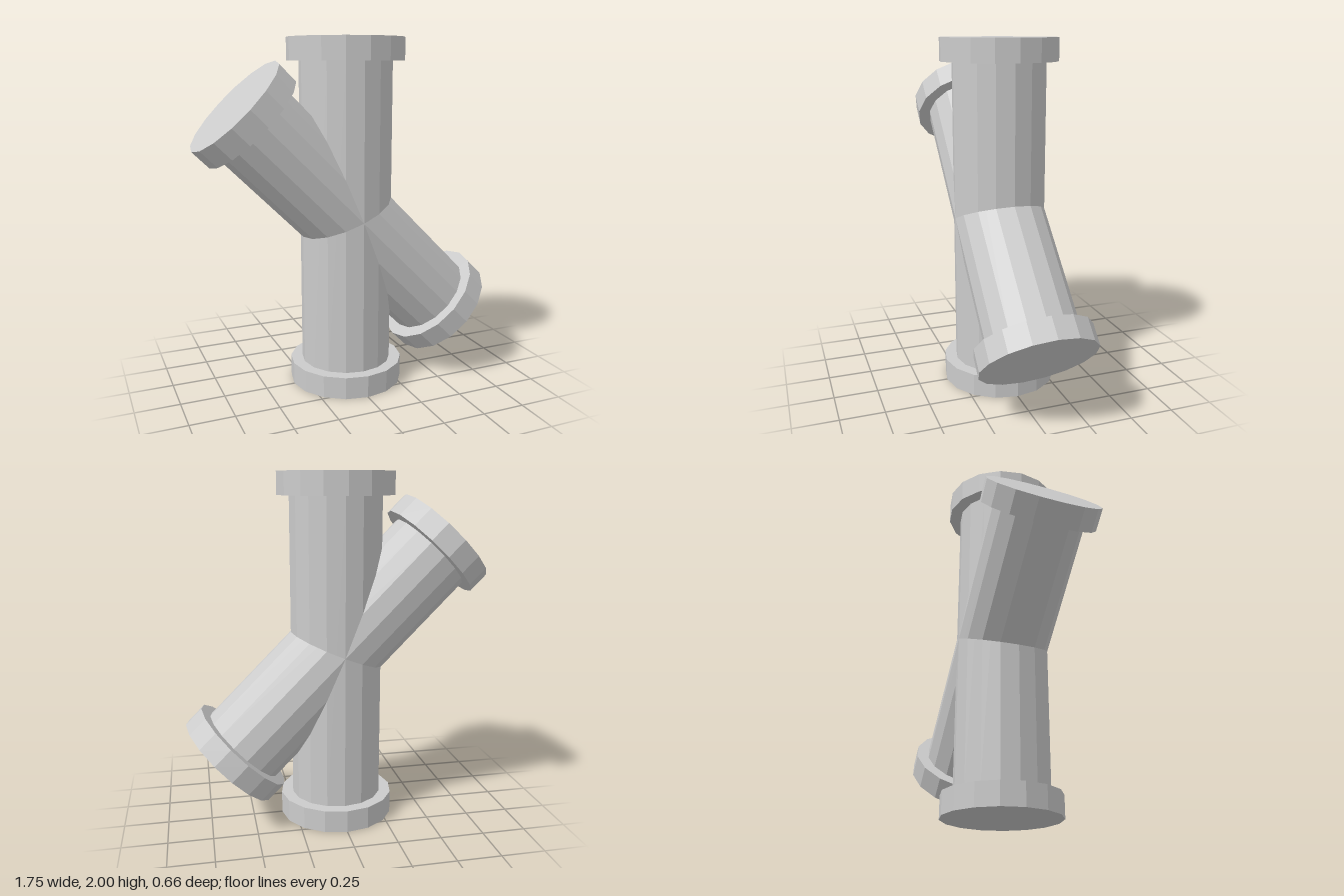
import * as THREE from 'three';

const SIDES = 16;
const PIPE_RADIUS = 0.262;
const FLANGE_RADIUS = 0.33;
const FLANGE_HEIGHT = 0.128;

const material = new THREE.MeshStandardMaterial({ color: 0xcccccc, flatShading: true });

function cylinder(name, radius, height, y) {
  const mesh = new THREE.Mesh(new THREE.CylinderGeometry(radius, radius, height, SIDES), material);
  mesh.name = name;
  mesh.position.y = y;
  return mesh;
}

// Straight pipe centred on its origin, with a blind flange on each end
function flangedPipe(name, halfLength) {
  const group = new THREE.Group();
  group.name = name;
  group.add(cylinder(name + 'Tube', PIPE_RADIUS, 2 * (halfLength - FLANGE_HEIGHT), 0));
  for (const [end, sign] of [['upper', 1], ['lower', -1]]) {
    group.add(cylinder(end + 'Flange', FLANGE_RADIUS, FLANGE_HEIGHT, sign * (halfLength - FLANGE_HEIGHT / 2)));
  }
  group.position.y = 1;
  return group;
}

export function createModel() {
  const model = new THREE.Group();
  model.name = 'pipeCross';

  // Upright run
  model.add(flangedPipe('mainPipe', 1));

  // Diagonal run crossing it at 45 degrees, upper end toward -x
  const branch = flangedPipe('branchPipe', 0.905);
  branch.rotation.z = Math.PI / 4;
  model.add(branch);

  return model;
}
